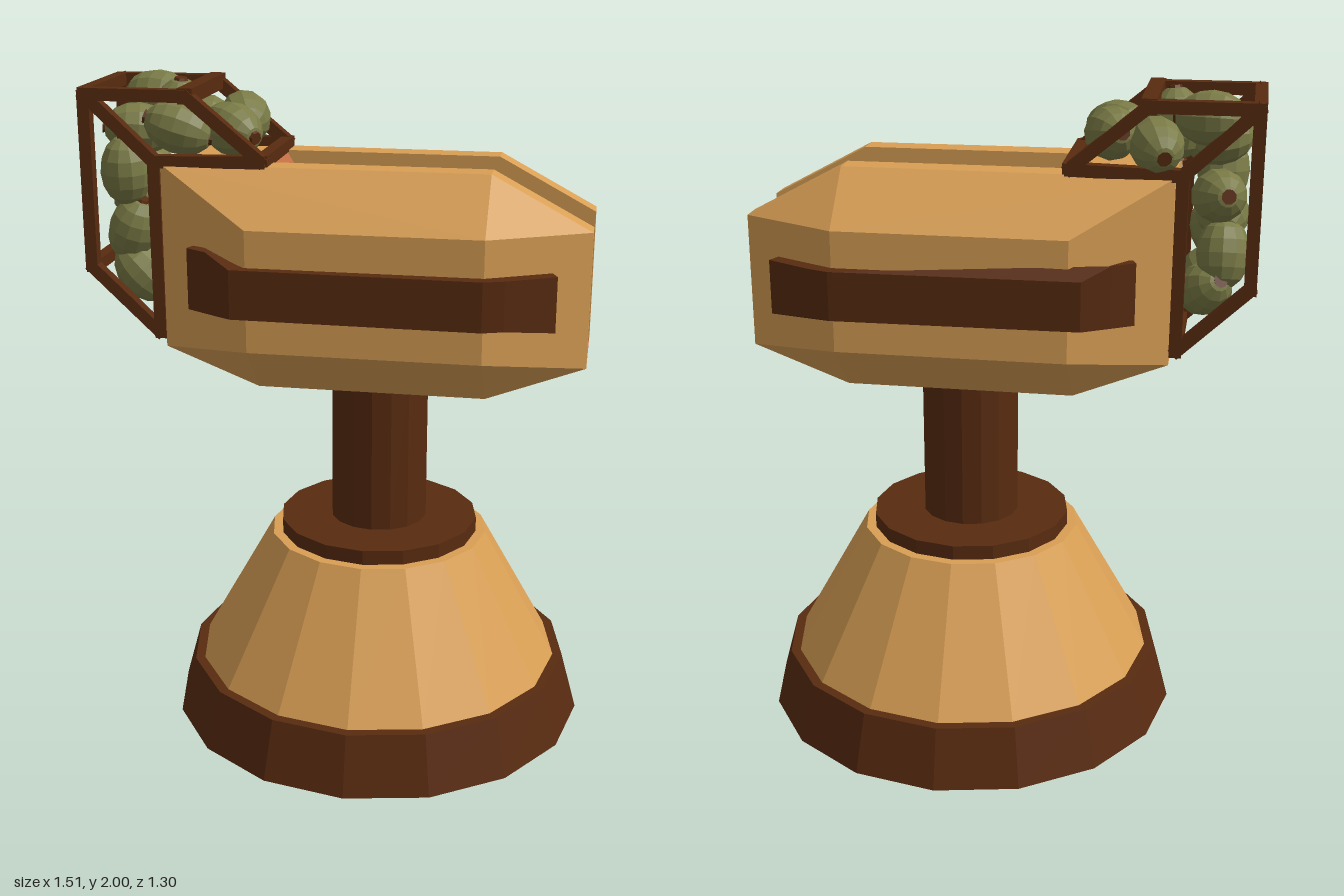
import * as THREE from 'three';
import { ConvexGeometry } from 'three/addons/geometries/ConvexGeometry.js';

const flat = (name, color) => {
  const m = new THREE.MeshStandardMaterial({ color, flatShading: true });
  m.name = name;
  return m;
};

export function createModel() {
  const tan = flat('tan wood', 0xd99f55);
  const dark = flat('dark wood', 0x582b10);
  const red = flat('red clay', 0xc47045);
  const olive = flat('olive green', 0x7a7b46);

  const model = new THREE.Group();
  model.name = 'fruitLauncher';
  const add = (name, geo, mat, parent = model) => {
    const mesh = new THREE.Mesh(geo, mat);
    mesh.name = name;
    parent.add(mesh);
    return mesh;
  };

  // Round pedestal: [name, bottom y, top y, bottom radius, top radius, material]
  const CX = 0.11;
  [
    ['baseRing', 0, 0.182, 0.65, 0.6, dark],
    ['baseCone', 0.182, 0.595, 0.57, 0.34, tan],
    ['collar', 0.595, 0.64, 0.31, 0.31, dark],
    ['column', 0.64, 1.12, 0.15, 0.15, dark],
  ].forEach(([name, y0, y1, r0, r1, mat]) => {
    add(name, new THREE.CylinderGeometry(r1, r0, y1 - y0, 16), mat).position.set(CX, (y0 + y1) / 2, 0);
  });

  // Two bevelled body halves on either side of the channel
  const SLOT = 0.105;
  const bodyEdge = [
    [-0.51, 1.765, 0.19], [-0.51, 1.215, 0.19],
    [-0.23, 1.765, 0.187], [-0.23, 1.61, 0.33], [-0.23, 1.25, 0.33], [-0.23, 1.1, 0.18],
    [0.45, 1.765, 0.182], [0.45, 1.61, 0.33], [0.45, 1.25, 0.33], [0.45, 1.1, 0.18],
    [0.74, 1.61, 0.18], [0.74, 1.21, 0.18],
  ];
  for (const s of [1, -1]) {
    const pts = bodyEdge.flatMap(([x, y, z]) => [
      new THREE.Vector3(x, y, s * z), new THREE.Vector3(x, y, s * SLOT),
    ]);
    add(s > 0 ? 'bodyFrontHalf' : 'bodyBackHalf', new ConvexGeometry(pts), tan);
  }

  // Middle of the body: tan underside and rear block, sunken red channel
  const slab = (points, depth) => {
    const shape = new THREE.Shape(points.map(([x, y]) => new THREE.Vector2(x, y)));
    return new THREE.ExtrudeGeometry(shape, { depth, bevelEnabled: false }).translate(0, 0, -depth / 2);
  };
  add('bodyCore', slab([
    [-0.51, 1.765], [-0.2, 1.765], [-0.2, 1.15], [0.45, 1.15],
    [0.74, 1.21], [0.45, 1.1], [-0.23, 1.1], [-0.51, 1.215],
  ], SLOT * 2), tan);
  add('channel', slab([
    [-0.2, 1.765], [-0.16, 1.7], [0.38, 1.7], [0.67, 1.54],
    [0.67, 1.25], [0.74, 1.21], [0.45, 1.15], [-0.2, 1.15],
  ], SLOT * 2), red);

  // Side bands bent around the body, flared at the rear end
  for (const s of [1, -1]) {
    const outline = [
      [-0.415, 0.275], [-0.35, 0.315], [-0.27, 0.362], [0.45, 0.372], [0.51, 0.35], [0.65, 0.275],
      [0.63, 0.225], [0.45, 0.32], [-0.23, 0.32], [-0.35, 0.26], [-0.4, 0.235],
    ].map(([x, z]) => [x, -s * z]);
    const geo = slab(outline, 0.145).rotateX(-Math.PI / 2).translate(0, 1.43, 0);
    const p = geo.attributes.position;
    for (let i = 0; i < p.count; i++) {
      const top = p.getY(i) > 1.43;
      if (p.getX(i) < -0.34 && top) p.setY(i, 1.54);
      if (p.getX(i) > 0.6 && !top) p.setY(i, 1.34);
    }
    add(s > 0 ? 'frontSideBand' : 'backSideBand', geo, dark);
  }

  // Open crate frame hugging the rear top corner
  const crate = new THREE.Group();
  crate.name = 'crate';
  model.add(crate);
  const bar = (a, b, w = 0.036) => {
    const m = add('crateBar', new THREE.BoxGeometry(w, w, a.distanceTo(b) + w * 0.6), dark, crate);
    m.position.copy(a).lerp(b, 0.5);
    m.lookAt(b);
  };
  const nodes = {
    A: [-0.733, 1.96], B: [-0.43, 1.96], C: [-0.21, 1.778],
    D: [-0.53, 1.77], E: [-0.528, 1.255], F: [-0.733, 1.45],
  };
  const at = (k, z) => new THREE.Vector3(nodes[k][0], nodes[k][1], z);
  for (const z of [0.177, -0.177]) {
    for (const [a, b] of ['AB', 'BC', 'CD', 'DE', 'EF', 'FA', 'AD']) bar(at(a, z), at(b, z));
  }
  for (const k of 'ABCEF') bar(at(k, -0.177), at(k, 0.177), k === 'B' ? 0.045 : 0.036);

  // Fruit heap: position then long-axis direction
  const fruitGeo = new THREE.SphereGeometry(1, 12, 8).scale(0.078, 0.105, 0.078);
  const tipGeo = new THREE.CylinderGeometry(0.018, 0.022, 0.008, 8);
  const up = new THREE.Vector3(0, 1, 0);
  [
    [-0.6, 1.92, -0.11, 1, 0, 0.2],
    [-0.32, 1.865, -0.08, 0.4, -0.2, 1],
    [-0.5, 1.885, 0, 0.1, 1, 0.1],
    [-0.62, 1.84, 0.03, 1, -0.1, -0.3],
    [-0.32, 1.855, 0.08, 1, -0.2, 0.7],
    [-0.47, 1.86, 0.12, 1, -0.3, 0],
    [-0.45, 1.845, -0.13, 0.3, 0.2, 1],
    [-0.635, 1.73, 0.12, 0, 1, 0.1],
    [-0.63, 1.7, -0.1, 0.3, -0.2, 1],
    [-0.625, 1.55, 0.1, 0.4, 1, 0.2],
    [-0.65, 1.53, -0.09, 0, 1, 0.3],
    [-0.6, 1.42, 0.1, 1, -1, 0.1],
    [-0.6, 1.42, -0.08, 0.6, -0.6, 1],
    [-0.64, 1.63, 0, 0.2, 0.3, 1],
  ].forEach(([x, y, z, dx, dy, dz]) => {
    const fruit = new THREE.Group();
    fruit.name = 'fruit';
    fruit.position.set(x, y, z);
    fruit.quaternion.setFromUnitVectors(up, new THREE.Vector3(dx, dy, dz).normalize());
    add('fruitFlesh', fruitGeo, olive, fruit);
    for (const s of [1, -1]) add('fruitTip', tipGeo, dark, fruit).position.y = s * 0.103;
    model.add(fruit);
  });

  return model;
}
